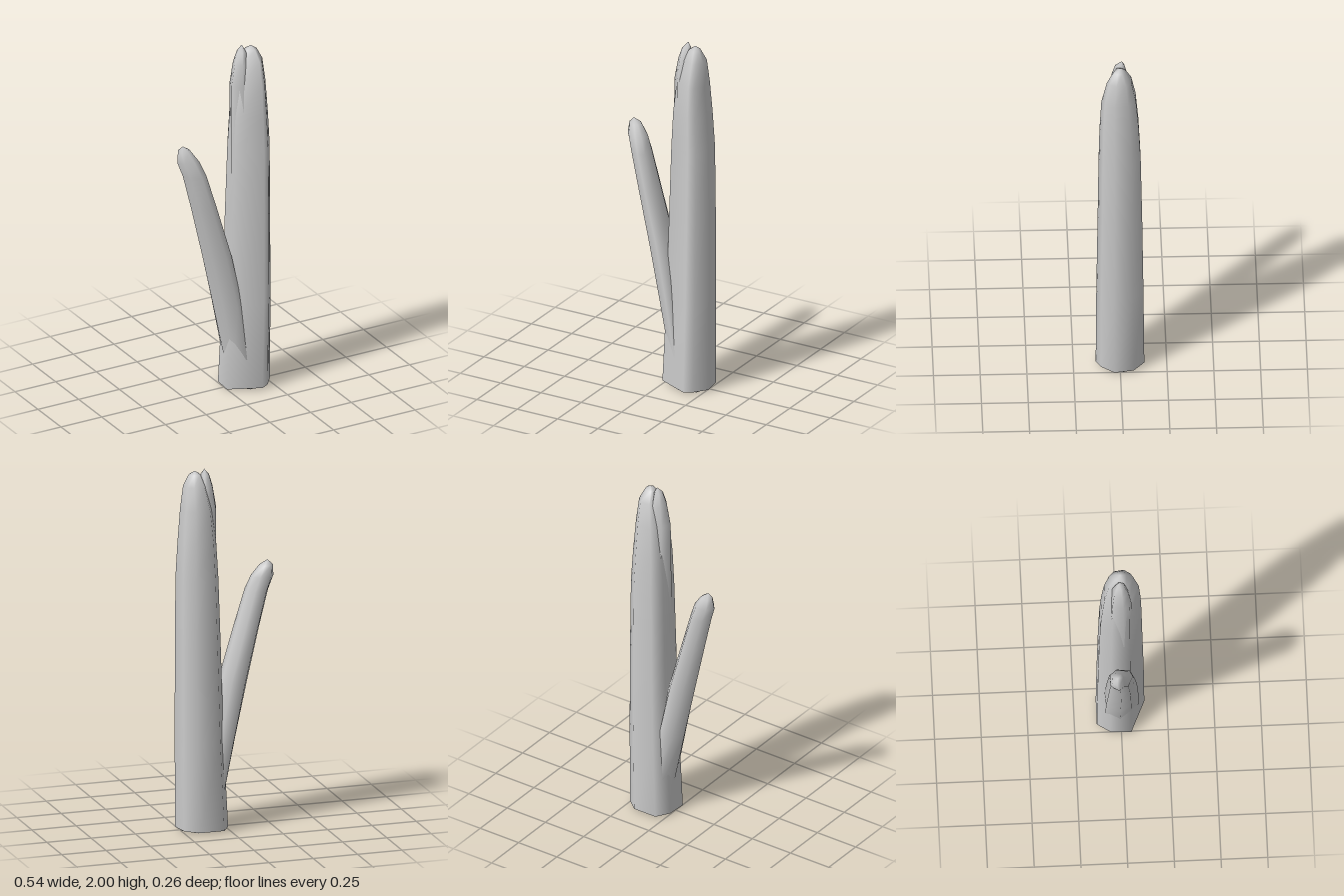
import * as THREE from 'three';

const material = new THREE.MeshStandardMaterial({ color: 0xcccccc, side: THREE.DoubleSide });

// Smooth open-bottomed stalk: each ring is [y, xMin, xMax, zMin, zMax],
// the outline is a ring of [u, v] points in the range -1..1, closed at the tip.
function stalk(name, outline, rings, tip) {
  const n = outline.length;
  const positions = [];
  const index = [];
  for (const [y, x0, x1, z0, z1] of rings) {
    for (const [u, v] of outline) {
      positions.push(
        (x0 + x1) / 2 + (u * (x1 - x0)) / 2,
        y,
        (z0 + z1) / 2 + (v * (z1 - z0)) / 2
      );
    }
  }
  positions.push(...tip);
  const tipIndex = rings.length * n;
  for (let r = 0; r < rings.length; r++) {
    for (let i = 0; i < n; i++) {
      const a = r * n + i;
      const b = r * n + ((i + 1) % n);
      if (r === rings.length - 1) index.push(a, tipIndex, b);
      else index.push(a, a + n, b, b, a + n, b + n);
    }
  }
  const geometry = new THREE.BufferGeometry();
  geometry.setAttribute('position', new THREE.Float32BufferAttribute(positions, 3));
  geometry.setIndex(index);
  geometry.computeVertexNormals();
  const mesh = new THREE.Mesh(geometry, material);
  mesh.name = name;
  return mesh;
}

// Irregular rounded outline of the thick stalk
const mainOutline = [
  [-0.62, -1], [0.38, -1], [0.88, -0.55], [1, 0.25],
  [0.6, 0.8], [0.27, 1], [-1, 0.4], [-0.95, -0.45],
];

// Plain six-sided outline
const hexOutline = Array.from({ length: 6 }, (_, i) => {
  const a = -2.3 + (i * Math.PI) / 3;
  return [Math.cos(a), Math.sin(a)];
});

// Slanted outline of the side shoot
const shootOutline = [
  [-0.55, -0.95], [0.5, -1], [1, -0.3], [0.85, 0.75],
  [0.3, 1], [-0.6, 0.55], [-1, -0.1],
];

export function createModel() {
  const group = new THREE.Group();
  group.name = 'stalks';

  // Thick outer stalk
  group.add(stalk('mainStalk', mainOutline, [
    [0.01, -0.01, 0.265, -0.13, 0.13],
    [0.5, 0.015, 0.268, -0.125, 0.127],
    [1.0, 0.03, 0.267, -0.118, 0.12],
    [1.4, 0.043, 0.264, -0.11, 0.115],
    [1.6, 0.054, 0.252, -0.1, 0.11],
    [1.78, 0.075, 0.238, -0.085, 0.1],
    [1.91, 0.108, 0.224, -0.06, 0.07],
    [1.97, 0.135, 0.195, -0.025, 0.035],
  ], [0.165, 1.99, 0.0]));

  // Thinner stalk nested inside, its tip showing beside the main tip
  group.add(stalk('innerStalk', hexOutline, [
    [0, 0.04, 0.25, -0.1, 0.1],
    [0.8, 0.035, 0.23, -0.09, 0.09],
    [1.4, 0.037, 0.2, -0.075, 0.075],
    [1.78, 0.04, 0.17, -0.06, 0.06],
    [1.9, 0.062, 0.15, -0.048, 0.045],
    [1.965, 0.084, 0.135, -0.03, 0.025],
  ], [0.115, 2.0, -0.01]));

  // Side shoot leaning away from the base
  group.add(stalk('sideShoot', shootOutline, [
    [0.18, 0.005, 0.135, -0.09, 0.095],
    [0.5, -0.062, 0.085, -0.088, 0.092],
    [0.8, -0.127, 0.024, -0.08, 0.083],
    [1.1, -0.195, -0.062, -0.075, 0.07],
    [1.3, -0.243, -0.12, -0.072, 0.055],
    [1.38, -0.27, -0.15, -0.07, 0.03],
    [1.44, -0.264, -0.192, -0.06, 0.0],
  ], [-0.235, 1.47, -0.03]));

  return group;
}
